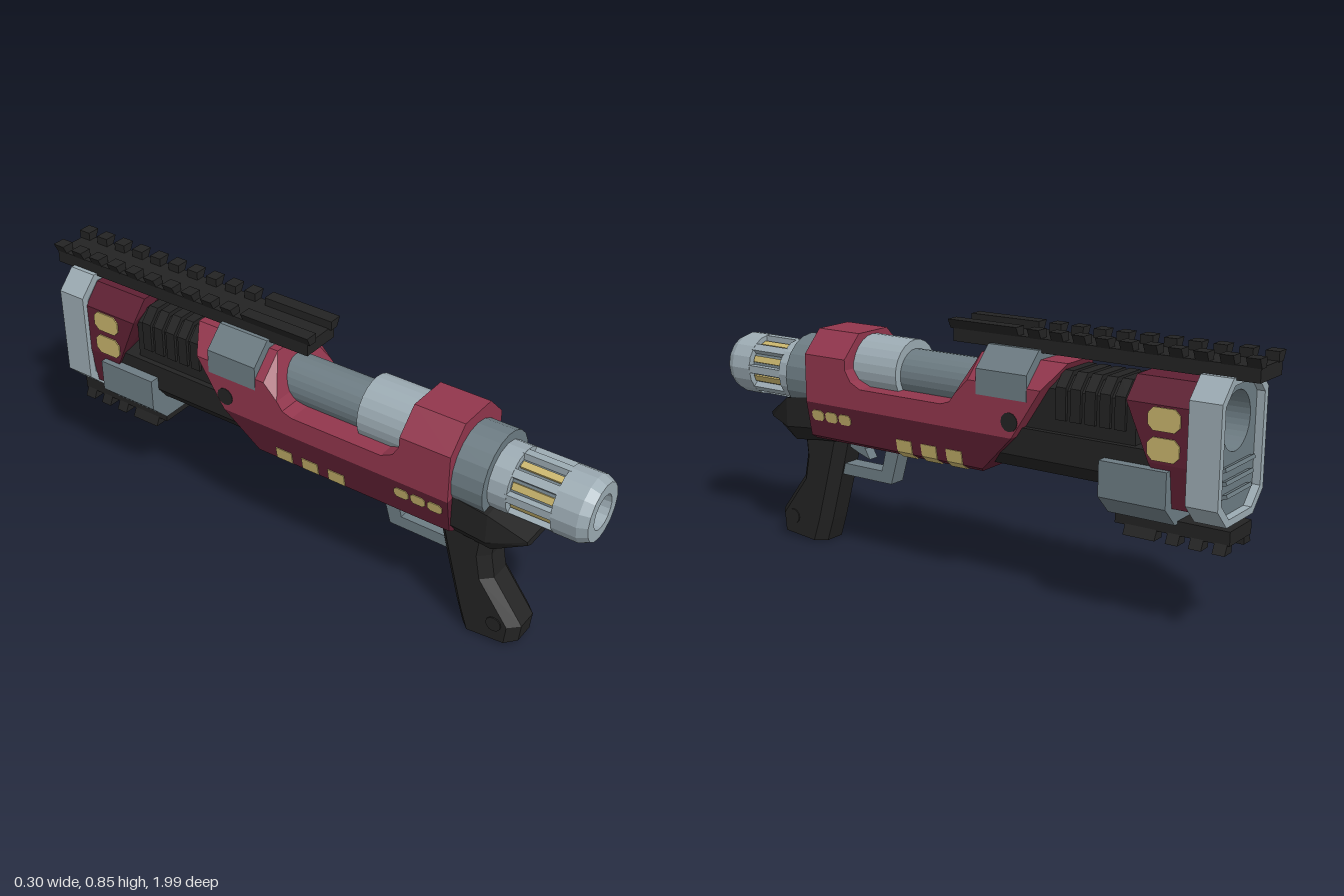
import * as THREE from 'three';

const mat = (name, color) => {
  const m = new THREE.MeshStandardMaterial({ color });
  m.name = name;
  return m;
};

export function createModel() {
  const root = new THREE.Group();
  root.name = 'toyBlaster';
  const light = mat('light grey', 0x9cabb3), grey = mat('mid grey', 0x6d7c83);
  const red = mat('red', 0x92364d), darkRed = mat('dark red', 0x5f2033);
  const black = mat('black', 0x232323), gold = mat('gold', 0xc9b56d);

  // Adds a faceted mesh
  const add = (name, geo, material) => {
    const g = geo.index ? geo.toNonIndexed() : geo;
    g.computeVertexNormals();
    const m = new THREE.Mesh(g, material);
    m.name = name;
    root.add(m);
    return m;
  };

  // Skins closed rings of [x, y, z] corners, with optional end caps
  const loft = (rings, capStart = true, capEnd = true) => {
    const n = rings[0].length, pos = rings.flat(2), idx = [];
    for (let r = 0; r < rings.length - 1; r++)
      for (let i = 0; i < n; i++) {
        const a = r * n + i, b = r * n + (i + 1) % n;
        idx.push(a, b, b + n, a, b + n, a + n);
      }
    const last = (rings.length - 1) * n;
    for (let i = 1; i < n - 1; i++) {
      if (capStart) idx.push(0, i + 1, i);
      if (capEnd) idx.push(last, last + i, last + i + 1);
    }
    // Turn the faces outward using the signed volume about the centre
    const p = i => new THREE.Vector3().fromArray(pos, i * 3);
    const c = new THREE.Vector3();
    for (let i = 0; i < pos.length / 3; i++) c.add(p(i));
    c.divideScalar(pos.length / 3);
    let vol = 0;
    for (let i = 0; i < idx.length; i += 3) {
      const [u, v, w] = [0, 1, 2].map(k => p(idx[i + k]).sub(c));
      vol += u.dot(v.cross(w));
    }
    if (vol < 0) idx.reverse();
    const g = new THREE.BufferGeometry();
    g.setAttribute('position', new THREE.Float32BufferAttribute(pos, 3));
    g.setIndex(idx);
    return g;
  };
  // Mirrors a half section, listed top to bottom, into a full ring
  const ring = (half, z) => {
    const zs = h => (h.length > 2 ? h[2] : z);
    return [...half.map(h => [h[0], h[1], zs(h)]),
      ...half.slice().reverse().map(h => [-h[0], h[1], zs(h)])];
  };
  const bar = (half, z0, z1) => loft([ring(half, z0), ring(half, z1)]);

  const toShape = pts => new THREE.Shape(pts.map(q => new THREE.Vector2(q[0], q[1])));
  const prism = (pts, z0, z1) => new THREE.ExtrudeGeometry(toShape(pts),
    { depth: z1 - z0, bevelEnabled: false }).translate(0, 0, z0);
  // Extrudes a [z, y] outline across x
  const sidePlate = (pts, w) => prism(pts, -w / 2, w / 2).rotateY(-Math.PI / 2);
  const rod = (r, z0, z1, y, n = 24) => new THREE.CylinderGeometry(r, r, z1 - z0, n)
    .rotateX(Math.PI / 2).translate(0, y, (z0 + z1) / 2);
  const lathe = (pts, y, n) => new THREE.LatheGeometry(pts.map(q => new THREE.Vector2(...q)), n)
    .rotateX(Math.PI / 2).translate(0, y, 0);

  // Upper shell: its top height dips into a scoop
  const section = h => [[0.147 - Math.max(0, h - 0.69), h], [0.147, Math.min(h, 0.69)], [0.147, 0.53]];
  const heights = [[0.588, 0.765], [0.417, 0.765], [0.416, 0.655], [0.395, 0.62], [0.355, 0.6],
    [0.03, 0.6], [-0.005, 0.612], [-0.025, 0.64], [-0.075, 0.765]];
  add('upperShell', loft([...heights.map(([z, h]) => ring(section(h), z)),
    ring([[0.072, 0.765, -0.385], [0.147, 0.69, -0.337], [0.147, 0.53, -0.235]])]), red);
  add('lowerShell', loft([
    ring([[0.147, 0.53], [0.124, 0.41], [0.1, 0.395]], 0.588),
    ring([[0.147, 0.53, -0.235], [0.124, 0.41, -0.115], [0.1, 0.395, -0.1]])]), darkRed);
  add('noseShell', loft([
    ring([[0.07, 0.765, -0.615], [0.13, 0.7, -0.615], [0.13, 0.53, -0.69], [0.11, 0.4, -0.76]]),
    ring([[0.07, 0.765], [0.13, 0.7], [0.13, 0.53], [0.11, 0.4]], -0.825)], true, false), darkRed);

  // Black core and cooling ribs
  add('core', bar([[0.115, 0.56], [0.115, 0.47], [0.08, 0.425]], -0.05, -0.82), black);
  add('upperCore', bar([[0.06, 0.73], [0.096, 0.69], [0.096, 0.5]], -0.25, -0.63), black);
  for (let i = 0; i < 5; i++) {
    const z = -0.365 - i * 0.05;
    add('coolingRib', bar([[0.065, 0.745], [0.106, 0.7], [0.106, 0.6]], z, z - 0.035), black);
  }

  // Chamber lying in the scoop
  add('chamberSleeve', rod(0.105, 0.24, 0.42, 0.65), light);
  add('chamberTube', rod(0.08, -0.12, 0.25, 0.645), grey);

  // Rear collar and slotted cap
  const axis = 0.593;
  add('rearCollar', rod(0.135, 0.57, 0.69, axis, 20), grey);
  add('capBase', rod(0.106, 0.685, 0.75, axis, 16), light);
  add('capCore', rod(0.085, 0.74, 0.9, axis, 16), grey);
  add('capEnd', lathe([[0.08, 0.89], [0.106, 0.89], [0.106, 0.97], [0.092, 1], [0.055, 1], [0.052, 0.92]], axis, 16), light);
  add('capHole', rod(0.054, 0.91, 0.93, axis, 16), black);
  for (let i = 0; i < 8; i++) {
    const put = (name, geo, a, material) =>
      add(name, geo.rotateZ(a).translate(0, axis, 0.82), material);
    put('capRib', new THREE.BoxGeometry(0.026, 0.04, 0.15).translate(0, 0.084, 0), i * Math.PI / 4, light);
    put('capLight', new THREE.BoxGeometry(0.022, 0.008, 0.13).translate(0, 0.086, 0), (i + 0.5) * Math.PI / 4, gold);
  }

  // Muzzle frame, recessed plate, bore and louvres
  const oct = (w, top, bot, c) => [[w, bot + c], [w, top - c], [w - c, top], [c - w, top],
    [-w, top - c], [-w, bot + c], [c - w, bot], [w - c, bot]];
  const extrudeHole = (outer, hole, z0, z1) => {
    const s = toShape(outer);
    s.holes.push(hole);
    return new THREE.ExtrudeGeometry(s, { depth: z1 - z0, bevelEnabled: false, curveSegments: 16 }).translate(0, 0, z0);
  };
  const holePath = new THREE.Path().absarc(0, 0.655, 0.088, 0, Math.PI * 2, true);
  add('muzzleFrame', extrudeHole(oct(0.147, 0.793, 0.366, 0.062),
    new THREE.Path(oct(0.125, 0.771, 0.388, 0.052).map(q => new THREE.Vector2(...q)).reverse()), -0.92, -0.82), light);
  add('muzzlePlate', extrudeHole(oct(0.127, 0.773, 0.386, 0.052), holePath, -0.895, -0.822), grey);
  add('bore', lathe([[0.001, -0.69], [0.088, -0.69], [0.088, -0.894]], 0.655, 32), grey);
  for (let i = 0; i < 3; i++)
    add('louvre', new THREE.BoxGeometry(0.19 - i * 0.015, 0.012, 0.03).rotateX(0.35)
      .translate(0, 0.53 - i * 0.04, -0.9), grey);

  // Rails: grooved base with flared teeth, flipped for the lower one
  const rail = (name, y, dir, z0, z1, spans) => {
    const fit = pts => pts.map(([px, py]) => [px, y + dir * py]);
    add(name + 'Base', bar(fit([[0.07, 0.043], [0.07, 0]]), z0, z1), black);
    for (const [a, b] of spans)
      for (const s of [-1, 1])
        add(name + 'Tooth', prism(fit([[0.04, 0.04], [0.07, 0.04], [0.085, 0.07], [0.04, 0.07]])
          .map(([px, py]) => [px * s, py]), b, a), black);
  };
  const teeth = (z, n, pitch, w) => Array.from({ length: n }, (_, i) => [z - i * pitch, z - i * pitch - w]);
  rail('topRail', 0.785, 1, 0.035, -0.99, [[0.045, -0.208], ...teeth(-0.246, 10, 0.0783, 0.042)]);
  rail('lowerRail', 0.352, -1, -0.555, -0.925, [[-0.59, -0.695], ...teeth(-0.73, 3, 0.074, 0.04)]);
  add('topBracket', bar([[0.083, 0.795], [0.149, 0.73], [0.149, 0.65]], -0.107, -0.29), grey);
  add('lowerBracket', bar([[0.148, 0.515], [0.148, 0.405], [0.085, 0.343]], -0.54, -0.76), grey);

  // Gold windows and side discs
  for (const s of [-1, 1]) {
    const win = (name, z, y, w, h, x, tilt) => {
      const c = Math.min(w, h) * 0.25, a = w / 2, b = h / 2;
      const m = add(name, sidePlate([[a, c - b], [a, b - c], [a - c, b], [c - a, b],
        [-a, b - c], [-a, c - b], [c - a, -b], [a - c, -b]], 0.008), gold);
      m.position.set(s * x, y, z);
      m.rotation.z = -s * tilt;
    };
    for (let i = 0; i < 3; i++) win('sideLight', 0.543 - i * 0.058, 0.487, 0.05, 0.036, 0.1375, 0.19);
    for (const y of [0.66, 0.573]) win('noseWindow', -0.738, y, 0.102, 0.068, 0.13, 0);
    const disc = (name, r, x, y, z) => add(name, new THREE.CylinderGeometry(r, r, 0.008, 12)
      .rotateZ(Math.PI / 2).translate(s * x, y, z), black);
    disc('pivotHole', 0.03, 0.145, 0.58, -0.228);
    disc('gripScrew', 0.026, 0.07, 0.08, 0.735);
  }
  // Gold strips wrapping the underside
  for (let i = 0; i < 3; i++)
    add('bellyStrip', bar([[0.1355, 0.455], [0.128, 0.413], [0.102, 0.391]],
      0.217 - i * 0.099, 0.157 - i * 0.099), gold);

  // Grip: eight-sided sections stacked from foot to top
  const gripRing = ([yb, yf, zb, zf]) => {
    const w = 0.07, c = 0.034;
    const y = z => yf + (yb - yf) * (z - zf) / (zb - zf);
    return [[w, zf + c], [w, zb - c], [w - c, zb], [c - w, zb], [-w, zb - c], [-w, zf + c], [c - w, zf], [w - c, zf]]
      .map(([x, z]) => [x, y(z), z]);
  };
  add('grip', loft([[0.024, 0.005, 0.807, 0.61], [0.085, 0.085, 0.813, 0.584],
    [0.227, 0.227, 0.706, 0.545], [0.31, 0.31, 0.69, 0.523], [0.42, 0.42, 0.7, 0.495]].map(gripRing)), black);
  add('gripShoulder', loft([
    ring([[0.12, 0.535], [0.12, 0.43], [0.08, 0.388]], 0.5),
    ring([[0.12, 0.535], [0.12, 0.43], [0.08, 0.38]], 0.6),
    ring([[0.12, 0.52], [0.12, 0.42], [0.075, 0.365]], 0.705),
    ring([[0.075, 0.445], [0.07, 0.43], [0.05, 0.42]], 0.818)]), black);

  // Trigger and guard
  add('triggerGuard', sidePlate([[0.285, 0.4], [0.325, 0.258], [0.55, 0.258], [0.55, 0.298],
    [0.365, 0.298], [0.34, 0.4]], 0.06), grey);
  add('trigger', sidePlate([[0.52, 0.4], [0.44, 0.4], [0.445, 0.36], [0.425, 0.325], [0.47, 0.34], [0.52, 0.36]], 0.04), grey);
  return root;
}
